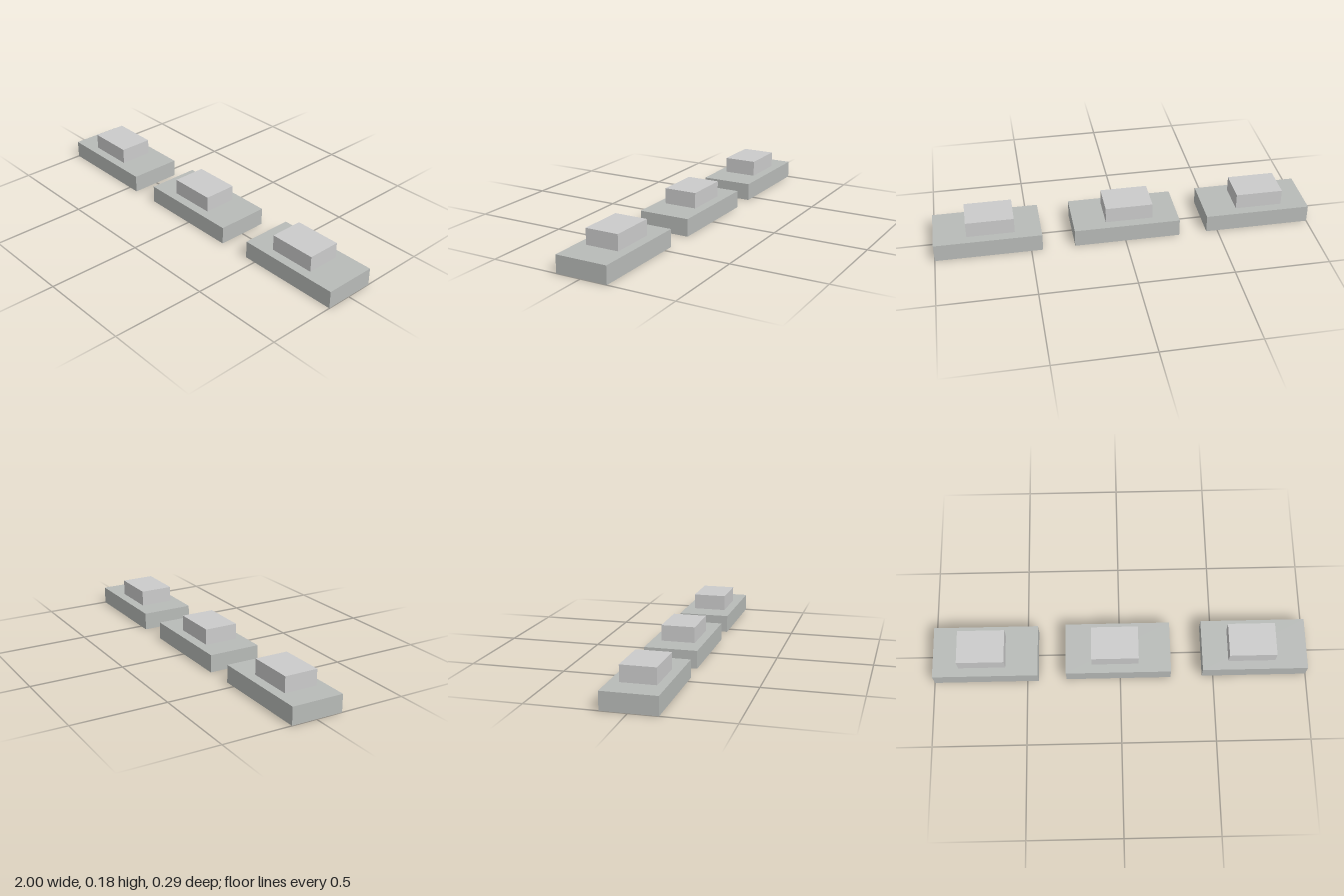
import * as THREE from 'three';

const BASE = { w: 0.56, h: 0.094, d: 0.28 };
const BLOCK = { w: 0.25, h: 0.084, d: 0.18 };

// Box standing on height y
function slab(name, size, x, y, z, material) {
  const mesh = new THREE.Mesh(new THREE.BoxGeometry(size.w, size.h, size.d), material);
  mesh.name = name;
  mesh.position.set(x, y + size.h / 2, z);
  return mesh;
}

export function createModel() {
  const model = new THREE.Group();
  model.name = 'steppedBlocks';
  const baseMaterial = new THREE.MeshStandardMaterial({ color: 0xb8bbb8 });
  const blockMaterial = new THREE.MeshStandardMaterial({ color: 0xcccccc });

  // Three stepped units in a slightly uneven row: name, x, z
  const units = [
    ['rightUnit', -0.72, 0.005],
    ['middleUnit', -0.01, -0.001],
    ['leftUnit', 0.72, -0.005],
  ];
  for (const [name, x, z] of units) {
    const unit = new THREE.Group();
    unit.name = name;
    unit.position.set(x, 0, z);
    unit.add(slab('base', BASE, 0, 0, 0, baseMaterial));
    // Upper block sits a little off centre
    unit.add(slab('upperBlock', BLOCK, -0.017, BASE.h, 0.002, blockMaterial));
    model.add(unit);
  }
  return model;
}
